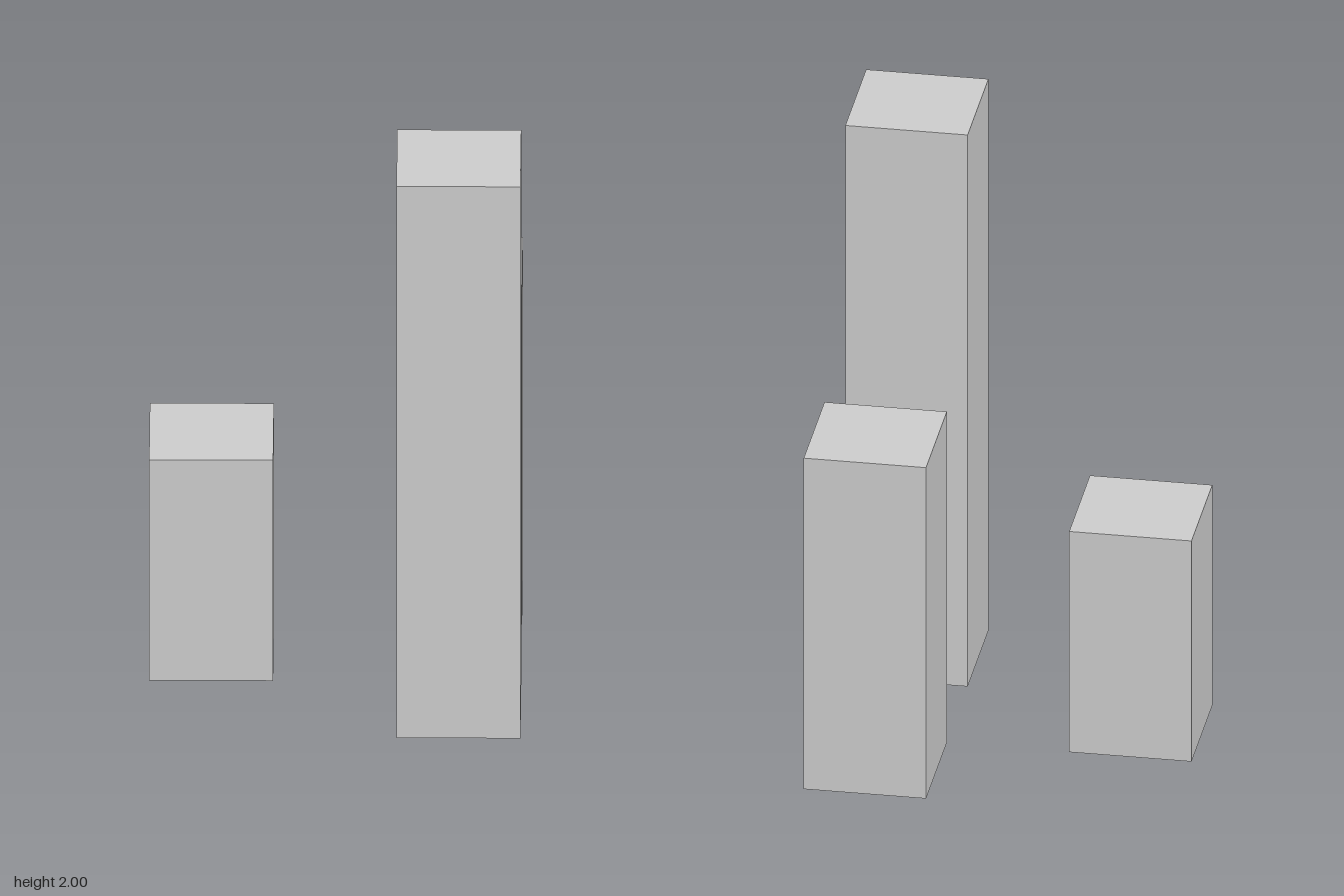
import * as THREE from 'three';

export function createModel() {
  const group = new THREE.Group();
  group.name = 'pillars';
  const material = new THREE.MeshStandardMaterial({ color: 0xcccccc, flatShading: true });
  const width = 0.4;

  // Square pillar standing on the ground
  function addPillar(name, height, x, z) {
    const pillar = new THREE.Mesh(new THREE.BoxGeometry(width, height, width), material);
    pillar.name = name;
    pillar.position.set(x, height / 2, z);
    group.add(pillar);
  }

  addPillar('tallPillar', 2, 0.4, 0.4);
  addPillar('mediumPillar', 1.2, 0.4, -0.4);
  addPillar('shortPillar', 0.8, -0.4, 0);

  return group;
}
